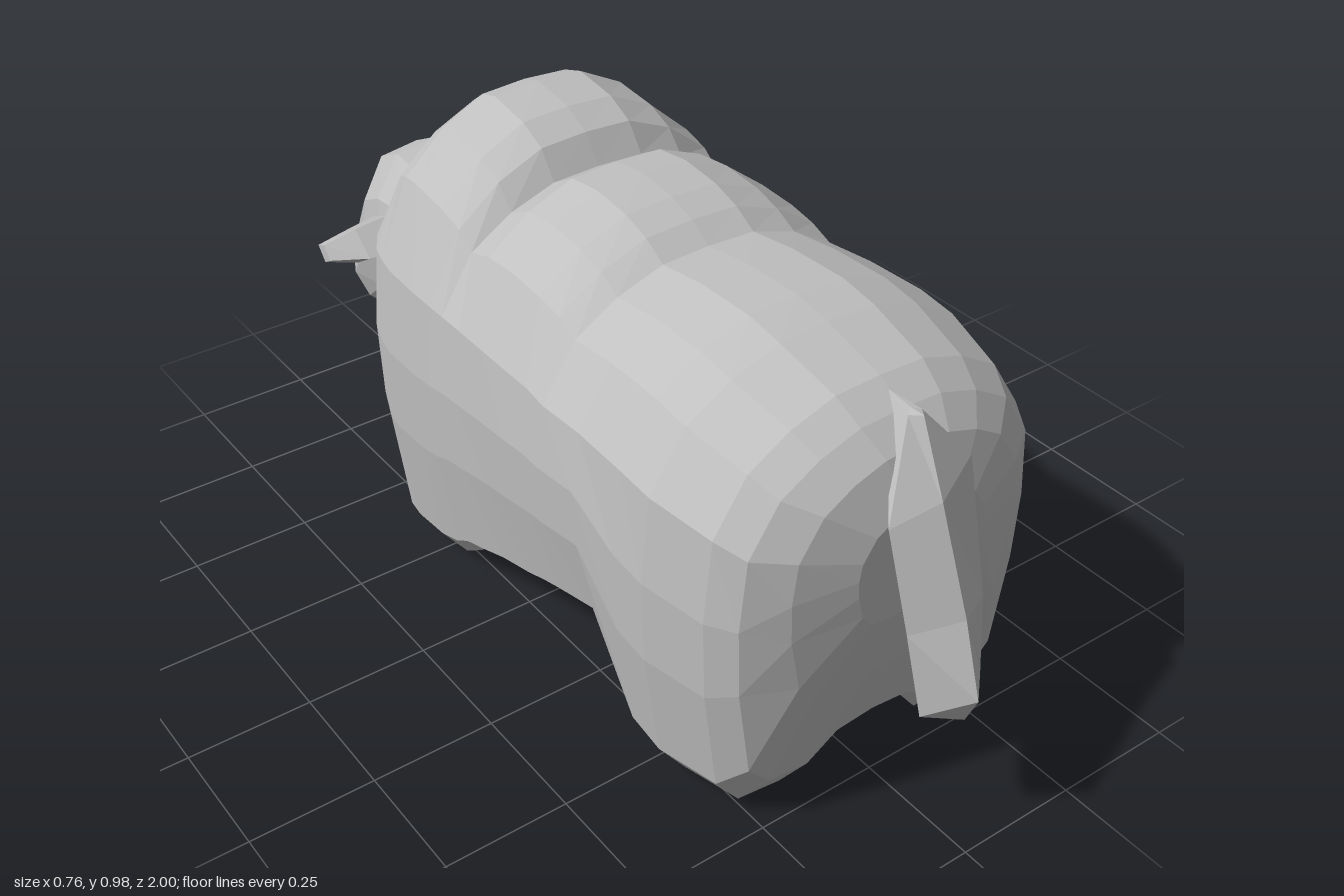
import * as THREE from 'three';

// Skin a list of equal-length point rings, close both ends, face outwards.
function loft(rings) {
  const tris = [];
  const n = rings[0].length;
  for (let i = 0; i < rings.length - 1; i++) {
    for (let j = 0; j < n; j++) {
      const k = (j + 1) % n;
      const a = rings[i][j], b = rings[i][k], c = rings[i + 1][k], d = rings[i + 1][j];
      tris.push([a, b, c], [a, c, d]);
    }
  }
  const cap = (ring, flip) => {
    const mid = [0, 1, 2].map((q) => ring.reduce((s, p) => s + p[q], 0) / n);
    for (let j = 0; j < n; j++) {
      const a = ring[j], b = ring[(j + 1) % n];
      tris.push(flip ? [mid, b, a] : [mid, a, b]);
    }
  };
  cap(rings[0], true);
  cap(rings[rings.length - 1], false);
  // A negative enclosed volume means the faces point inwards.
  const V = (p) => new THREE.Vector3(...p);
  const volume = tris.reduce((s, [a, b, c]) => s + V(a).dot(V(b).cross(V(c))), 0);
  if (volume < 0) tris.forEach((t) => t.reverse());
  const geometry = new THREE.BufferGeometry();
  geometry.setAttribute('position', new THREE.Float32BufferAttribute(tris.flat(2), 3));
  geometry.computeVertexNormals();
  return geometry;
}

// Mirror a half outline (first and last points on x = 0) into a full ring.
const mirrored = (half) => [
  ...half,
  ...half.slice(1, -1).reverse().map(([x, y, z]) => [-x, y, z]),
];

// Body section: half width, back height, foot height, belly height, lower rounding.
// The shoulder line stays level under the humps and sinks towards the narrow ends.
function bodyRing([z, w, top, foot, belly, round]) {
  const drop = Math.max(0.53 * w, top - 0.675);
  const shoulder = top - drop;
  const low = foot + round;
  return mirrored([
    [0, top, z],
    [0.27 * w, top - 0.02 * drop, z],
    [0.53 * w, top - 0.18 * drop, z],
    [0.77 * w, top - 0.45 * drop, z],
    [0.96 * w, shoulder, z],
    [w, shoulder + (low - shoulder) * 0.3, z],
    [0.98 * w, shoulder + (low - shoulder) * 0.6, z],
    [0.89 * w, low, z],
    [0.74 * w, foot + round * 0.15, z],
    [0.47 * w, foot, z],
    [0.26 * w, foot + (belly - foot) * 0.85, z],
    [0, belly, z],
  ]);
}

export function createModel() {
  const model = new THREE.Group();
  model.name = 'woollyAnimal';
  const grey = new THREE.MeshStandardMaterial({ color: 0xc0c0c0 });
  grey.name = 'stoneGrey';
  grey.flatShading = true;
  const add = (name, geometry) => {
    const mesh = new THREE.Mesh(geometry, grey);
    mesh.name = name;
    model.add(mesh);
  };

  // Body from rump to chest, with stubby legs below and two humps along the back
  add('bodyAndLegs', loft([
    // rump and hind legs
    [0.825, 0.14, 0.67, 0.45, 0.45, 0.03],
    [0.79, 0.25, 0.755, 0.30, 0.30, 0.05],
    [0.745, 0.32, 0.80, 0.10, 0.15, 0.06],
    [0.69, 0.35, 0.835, 0.02, 0.13, 0.08],
    [0.56, 0.38, 0.87, 0.005, 0.12, 0.09],
    [0.48, 0.38, 0.883, 0.02, 0.13, 0.09],
    [0.35, 0.375, 0.88, 0.255, 0.27, 0.02],
    // middle hump
    [0.24, 0.373, 0.865, 0.225, 0.25, 0.02],
    [0.19, 0.372, 0.895, 0.21, 0.24, 0.02],
    [0.13, 0.372, 0.915, 0.19, 0.23, 0.02],
    [0.04, 0.371, 0.925, 0.165, 0.22, 0.02],
    [-0.04, 0.37, 0.915, 0.135, 0.21, 0.02],
    // shoulder hump and front legs
    [-0.10, 0.37, 0.88, 0.115, 0.20, 0.02],
    [-0.14, 0.37, 0.935, 0.05, 0.18, 0.06],
    [-0.20, 0.37, 0.965, 0.005, 0.16, 0.085],
    [-0.30, 0.365, 0.98, 0.005, 0.15, 0.07],
    [-0.35, 0.355, 0.965, 0.01, 0.16, 0.06],
    [-0.39, 0.343, 0.935, 0.06, 0.18, 0.06],
    [-0.44, 0.312, 0.87, 0.17, 0.24, 0.06],
    [-0.48, 0.275, 0.79, 0.25, 0.29, 0.05],
    [-0.52, 0.22, 0.705, 0.33, 0.35, 0.04],
    [-0.55, 0.16, 0.645, 0.39, 0.40, 0.03],
  ].map(bodyRing)));

  // Head: each section is top z, top y, bottom z, bottom y, half width
  add('head', loft([
    [-0.53, 0.60, -0.54, 0.42, 0.10],
    [-0.62, 0.68, -0.57, 0.36, 0.17],
    [-0.72, 0.69, -0.64, 0.32, 0.175],
    [-0.80, 0.65, -0.73, 0.27, 0.165],
    [-0.95, 0.41, -0.86, 0.205, 0.125],
    [-0.99, 0.345, -0.93, 0.21, 0.095],
    [-1.0, 0.31, -0.97, 0.235, 0.05],
  ].map(([tz, ty, bz, by, w]) => mirrored(
    [[0, 0], [0.55, 0.03], [0.9, 0.25], [1, 0.5], [0.85, 0.78], [0.5, 0.97], [0, 1]]
      .map(([u, t]) => [u * w, ty + (by - ty) * t, tz + (bz - tz) * t]),
  ))));

  // Ears: blunt leaf sections running sideways
  for (const side of [1, -1]) {
    add(side > 0 ? 'leftEar' : 'rightEar', loft([
      [0.12, -0.57, -0.68, 0.04],
      [0.18, -0.55, -0.69, 0.045],
      [0.26, -0.56, -0.67, 0.04],
      [0.33, -0.60, -0.65, 0.02],
    ].map(([x, z0, z1, h]) => [
      [side * x, 0.55, z0],
      [side * x, 0.555 + h, (z0 + z1) / 2],
      [side * x, 0.565, z1],
      [side * x, 0.555 - h, (z0 + z1) / 2],
    ])));
  }

  // Hanging tail with a ridge down the outside
  add('tail', loft([
    [[-0.005, 0.82, 0.80], [0.01, 0.815, 0.78], [0, 0.82, 0.71], [-0.02, 0.815, 0.78]],
    [[-0.01, 0.69, 0.865], [0.088, 0.72, 0.825], [0, 0.66, 0.72], [-0.1, 0.66, 0.84]],
    [[-0.01, 0.50, 0.945], [0.085, 0.47, 0.89], [0, 0.48, 0.78], [-0.097, 0.48, 0.90]],
    [[-0.02, 0.37, 1.0], [0.08, 0.32, 0.91], [0, 0.36, 0.81], [-0.09, 0.33, 0.94]],
    [[0.01, 0.275, 0.95], [0.05, 0.285, 0.91], [0.01, 0.28, 0.88], [-0.05, 0.30, 0.91]],
  ]));

  return model;
}
